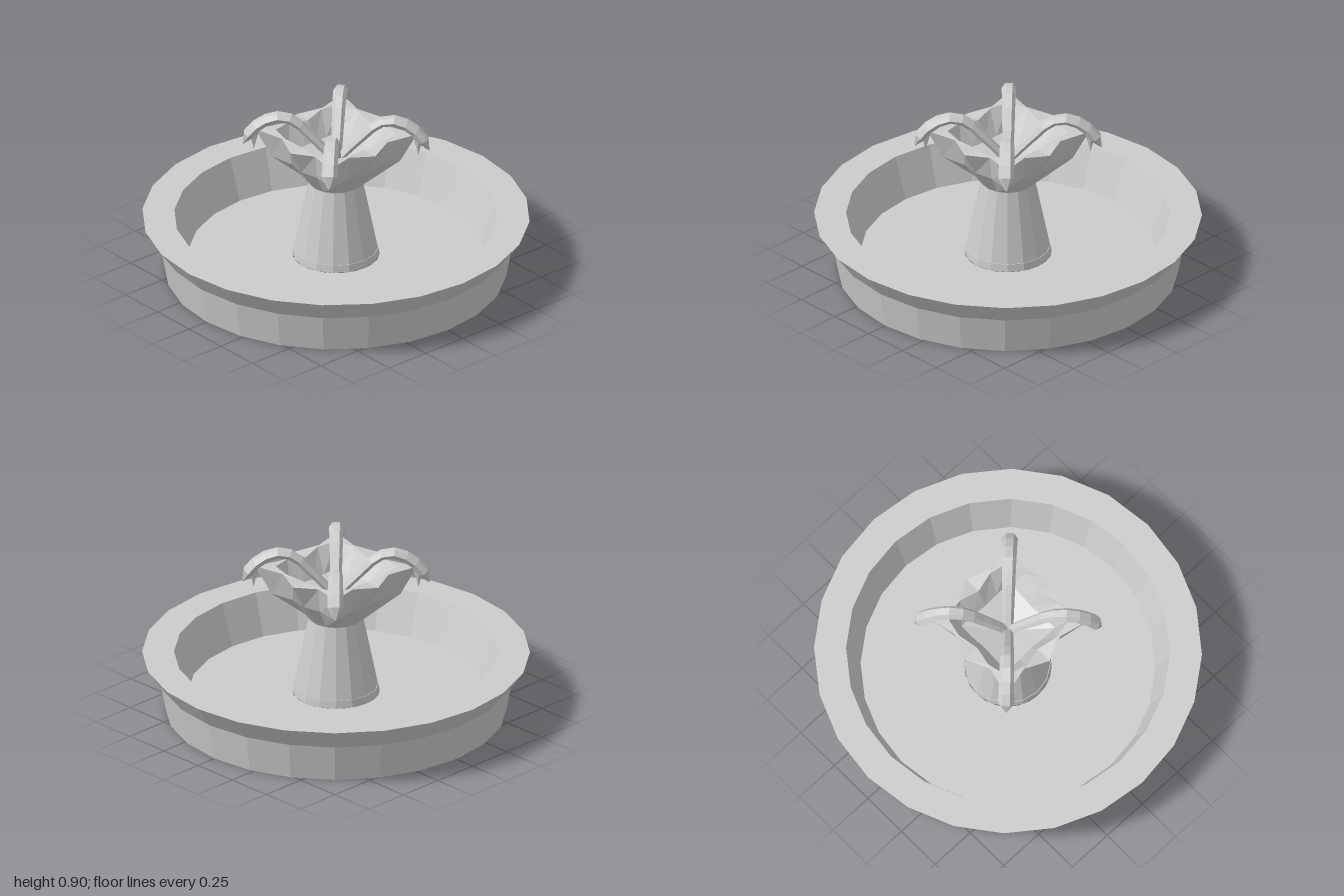
import * as THREE from 'three';

const material = new THREE.MeshStandardMaterial({ color: 0xcccccc, flatShading: true, side: THREE.DoubleSide });

function addMesh(parent, name, geometry) {
  const mesh = new THREE.Mesh(geometry, material);
  mesh.name = name;
  parent.add(mesh);
  return mesh;
}

const lathe = (profile, sides) =>
  new THREE.LatheGeometry(profile.map(([r, y]) => new THREE.Vector2(r, y)), sides);

// Sixteen-point scalloped square: axis point, shoulder (s, t) and corner, repeated on four sides
function scallop([axis, axisY], [s, t, sy], [corner, cornerY]) {
  const quarter = [[0, axis, axisY], [s, t, sy], [corner, corner, cornerY], [t, s, sy]];
  const ring = [];
  for (let k = 0; k < 4; k++) {
    const cos = Math.cos(k * Math.PI / 2), sin = Math.sin(k * Math.PI / 2);
    for (const [x, z, y] of quarter) ring.push([x * cos + z * sin, y, z * cos - x * sin]);
  }
  return ring;
}

// Skin joining successive rings of equal point count
function loft(rings) {
  const n = rings[0].length, index = [];
  for (let r = 0; r < rings.length - 1; r++) {
    for (let i = 0; i < n; i++) {
      const a = r * n + i, b = r * n + (i + 1) % n;
      index.push(a, b, b + n, a, b + n, a + n);
    }
  }
  const geometry = new THREE.BufferGeometry();
  geometry.setAttribute('position', new THREE.Float32BufferAttribute(rings.flat(2), 3));
  geometry.setIndex(index);
  geometry.computeVertexNormals();
  return geometry;
}

// Arched stream of water in the XY plane, tapered at its ends
function streamGeometry() {
  const d = Math.SQRT2;
  const path = new THREE.CatmullRomCurve3([
    [0.01, 0.65], [0.06, 0.73], [0.115, 0.81], [0.15, 0.86], [0.2, 0.882],
    [0.25, 0.865], [0.295, 0.82], [0.325, 0.765], [0.34, 0.72],
  ].map(([x, y]) => new THREE.Vector3(x * d, y, 0)));
  const segments = 10, sides = 6;
  const geometry = new THREE.TubeGeometry(path, segments, 1, sides);
  const pos = geometry.attributes.position, v = new THREE.Vector3();
  for (let i = 0; i <= segments; i++) {
    const t = i / segments, p = path.getPointAt(t);
    const w = i === segments ? 0.004 : 0.024 + 0.014 * t;
    for (let j = 0; j <= sides; j++) {
      const k = i * (sides + 1) + j;
      v.fromBufferAttribute(pos, k).sub(p);
      pos.setXYZ(k, p.x + v.x * w * 0.85, p.y + v.y * w * 0.85, v.z * w * 1.15);
    }
  }
  geometry.computeVertexNormals();
  return geometry;
}

export function createModel() {
  const fountain = new THREE.Group();
  fountain.name = 'fountain';

  // Basin: flared wall, flat rim, sloped inside and raised floor
  addMesh(fountain, 'basin', lathe([
    [0.88, 0], [0.915, 0.2], [1, 0.32], [0.835, 0.32], [0.76, 0.1], [0.225, 0.1],
  ], 24));

  // Tapered column with a shallow recess underneath
  addMesh(fountain, 'column', lathe([[0, 0.14], [0.22, 0.14], [0.225, 0.1], [0.14, 0.52]], 16));

  // Scalloped bowl: outside, rim, then inside down to the centre
  addMesh(fountain, 'bowl', loft([
    scallop([0.14, 0.52], [0.054, 0.129, 0.52], [0.099, 0.52]),
    scallop([0.235, 0.65], [0.1, 0.215, 0.65], [0.235, 0.65]),
    scallop([0.31, 0.785], [0.13, 0.255, 0.8], [0.295, 0.805]),
    scallop([0.22, 0.785], [0.11, 0.245, 0.8], [0.22, 0.805]),
    scallop([0.165, 0.68], [0.08, 0.17, 0.68], [0.17, 0.68]),
    scallop([0, 0.63], [0, 0, 0.63], [0, 0.63]),
  ]));

  // Four diagonal water streams, each with a falling drip
  const stream = streamGeometry();
  const drip = new THREE.ConeGeometry(0.032, 0.12, 5);
  for (let k = 0; k < 4; k++) {
    const arm = new THREE.Group();
    arm.name = 'waterStream';
    arm.rotation.y = Math.PI / 4 + k * Math.PI / 2;
    addMesh(arm, 'stream', stream);
    const tip = addMesh(arm, 'drip', drip);
    tip.position.set(0.425, 0.75, 0);
    tip.rotation.z = Math.PI;
    fountain.add(arm);
  }
  return fountain;
}
